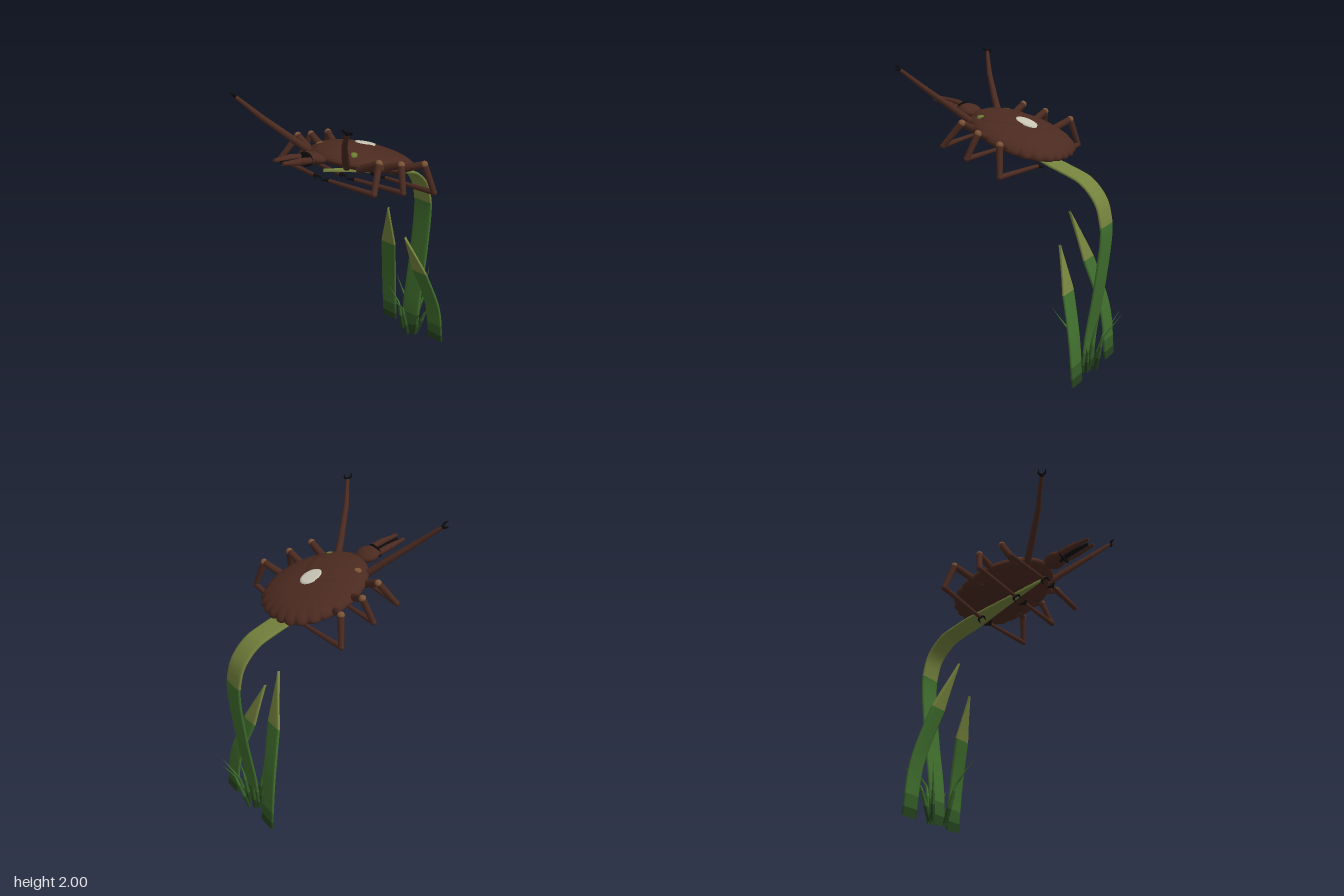
import * as THREE from 'three';
import { mergeVertices } from 'three/addons/utils/BufferGeometryUtils.js';

const material = (name, color, side = THREE.FrontSide) => {
  const m = new THREE.MeshStandardMaterial({ color, side });
  m.name = name;
  return m;
};

export function createModel() {
  const shell = material('shell brown', 0x4b2a20);
  const legBrown = material('leg brown', 0x4a2a20);
  const jointTan = material('joint tan', 0x7a5236);
  const black = material('claw black', 0x0c0a0a);
  const cream = material('spot cream', 0xc9c5b6);
  const eyeGreen = material('eye green', 0x6a7d30);
  const olive = material('blade olive', 0x74823d, THREE.DoubleSide);
  const green = material('blade green', 0x3f6d2d, THREE.DoubleSide);
  const midGreen = material('blade mid green', 0x335a27, THREE.DoubleSide);
  const darkGreen = material('blade dark green', 0x24411d, THREE.DoubleSide);

  const model = new THREE.Group();
  model.name = 'tickOnGrass';
  const V = (p) => new THREE.Vector3(...p);

  const add = (parent, name, geometry, mat) => {
    const mesh = new THREE.Mesh(geometry, mat);
    mesh.name = name;
    parent.add(mesh);
    return mesh;
  };

  // Tapered round rod from a to b
  const rod = (parent, name, a, b, r0, r1, mat) => {
    const d = V(b).sub(V(a));
    const mesh = add(parent, name, new THREE.CylinderGeometry(r1, r0, d.length(), 10), mat);
    mesh.position.copy(V(a)).addScaledVector(d, 0.5);
    mesh.quaternion.setFromUnitVectors(new THREE.Vector3(0, 1, 0), d.normalize());
  };
  const ball = (parent, name, p, r, mat) => {
    const mesh = add(parent, name, new THREE.SphereGeometry(r, 16, 10), mat);
    mesh.position.set(...p);
    return mesh;
  };

  // Lathe whose vertices are moved by a rule, then smoothed
  const shapedLathe = (profile, segments, rule) => {
    let g = new THREE.LatheGeometry(profile.map(([r, y]) => new THREE.Vector2(r, y)), segments);
    const p = g.attributes.position;
    for (let i = 0; i < p.count; i++) {
      const x = p.getX(i), z = p.getZ(i);
      p.setXYZ(i, ...rule(Math.hypot(x, z), Math.atan2(x, z), p.getY(i)));
    }
    g.deleteAttribute('uv');
    g.deleteAttribute('normal');
    g = mergeVertices(g, 1e-5);
    g.computeVertexNormals();
    return g;
  };

  // Tilted body
  const W = 0.31, L = 0.358, H = 0.095;
  const tick = new THREE.Group();
  tick.name = 'tickBody';
  tick.position.set(0, 1.533, 0.05);
  tick.rotation.x = -0.285;
  model.add(tick);

  const narrow = (c) => (c > 0 ? 1 - 0.08 * c : 1);
  const profile = [];
  for (let i = 0; i <= 20; i++) {
    const t = -Math.PI / 2 + (Math.PI * i) / 20;
    profile.push([Math.max(0, Math.cos(t)), Math.sin(t) * (t < 0 ? 0.055 : H)]);
  }
  add(tick, 'body', shapedLathe(profile, 208, (r, a, y) => {
    const s = Math.sin(a), c = Math.cos(a);
    const n = c < 0 ? 2.35 : 2;
    let k = Math.pow(Math.abs(s) ** n + Math.abs(c) ** n, -1 / n) * r;
    // scalloped rear rim
    if (c < -0.45) k *= 1 + 0.05 * r ** 6 * (Math.abs(Math.cos(a * 13)) - 0.7);
    return [W * s * k * narrow(c), y, L * c * k];
  }), shell);

  // Thin plates that follow the curve of the back
  const domeY = (x, z) => {
    const c = z / L / (Math.hypot(x / W, z / L) || 1);
    const rho2 = (x / (W * narrow(c))) ** 2 + (z / L) ** 2;
    return H * Math.sqrt(Math.max(0, 1 - rho2));
  };
  const plate = (name, x0, z0, hx, hz, lift, mat, point = 0) => {
    const rings = [[1, -0.004], [0.985, lift], [0.8, lift], [0.6, lift], [0.4, lift], [0.2, lift], [0, lift]];
    add(tick, name, shapedLathe(rings, 48, (r, a, y) => {
      const c = Math.cos(a);
      const x = x0 + hx * r * Math.sin(a) * (c < 0 ? 1 + point * c : 1);
      const z = z0 + hz * r * c;
      return [x, domeY(x, z) + y, z];
    }), mat);
  };
  plate('backShield', 0, 0.15, 0.178, 0.2, 0.006, shell, 0.35);
  plate('paleSpot', 0, -0.019, 0.055, 0.077, 0.009, cream);
  plate('leftEye', 0.15, 0.232, 0.019, 0.022, 0.009, eyeGreen);
  plate('rightEye', -0.15, 0.232, 0.019, 0.022, 0.009, jointTan);

  // Head and mouthparts
  ball(tick, 'headBase', [0, 0, 0.415], 1, shell).scale.set(0.083, 0.036, 0.075);
  ball(tick, 'mouthCollar', [0, -0.01, 0.479], 1, black).scale.set(0.063, 0.044, 0.012);
  rod(tick, 'mouthTube', [0, -0.012, 0.42], [0, -0.032, 0.665], 0.022, 0.01, black);
  for (const s of [1, -1]) {
    rod(tick, 'palpBase', [s * 0.04, -0.004, 0.43], [s * 0.044, -0.014, 0.56], 0.02, 0.022, shell);
    rod(tick, 'palpTip', [s * 0.044, -0.014, 0.56], [s * 0.037, -0.03, 0.69], 0.022, 0.011, shell);
  }

  // Legs: hip, knee, ankle, foot
  const legs = {
    foreLeg: [[0.13, 1.585, 0.3], [0.22, 1.69, 0.4], [0.35, 1.835, 0.535], [0.47, 1.965, 0.635]],
    secondLeg: [[0.2, 1.575, 0.27], [0.35, 1.65, 0.255], [0.41, 1.505, 0.36], [0.06, 1.5, 0.385]],
    thirdLeg: [[0.22, 1.54, 0.13], [0.39, 1.61, 0.105], [0.45, 1.46, 0.15], [0.06, 1.44, 0.165]],
    hindLeg: [[0.22, 1.495, 0.01], [0.42, 1.57, -0.075], [0.475, 1.39, -0.11], [0.06, 1.365, -0.12]],
  };
  const radii = [0.026, 0.022, 0.018, 0.012];
  for (const [name, pts] of Object.entries(legs)) {
    const isFore = name === 'foreLeg';
    for (const s of [1, -1]) {
      const leg = new THREE.Group();
      leg.name = (s > 0 ? 'left ' : 'right ') + name;
      model.add(leg);
      const p = pts.map(([x, y, z]) => [s * x, y, z]);
      for (let i = 0; i < 3; i++) {
        rod(leg, 'legSegment', p[i], p[i + 1], radii[i], radii[i + 1], legBrown);
        if (i) ball(leg, 'joint', p[i], radii[i] * 1.05, i === 1 && !isFore ? jointTan : legBrown);
      }
      // paired claws
      const dir = V(p[3]).sub(V(p[2])).normalize();
      const side = isFore ? new THREE.Vector3(s * 0.75, -0.3, -0.6) : new THREE.Vector3(0, 0.3, 0.9);
      ball(leg, 'clawPad', p[3], 0.013, black);
      for (const k of [1, -1]) {
        const mid = V(p[3]).addScaledVector(dir, 0.016).addScaledVector(side, k * 0.024);
        const tip = mid.clone().addScaledVector(dir, 0.026);
        if (!isFore) tip.y -= 0.014;
        rod(leg, 'claw', p[3], mid.toArray(), 0.008, 0.007, black);
        rod(leg, 'clawTip', mid.toArray(), tip.toArray(), 0.007, 0.001, black);
      }
    }
  }

  // Grass blades: flat sections along a curve, coloured by height [dark, mid, olive]
  const square = (v) => Math.sign(v) * Math.abs(v) ** 0.4;
  const blade = (name, pts, width, taper, thick, tipThick, heights, rows, tension = 0.5) => {
    const curve = new THREE.CatmullRomCurve3(pts.map(V), false, 'catmullrom', tension);
    const pos = [], index = [], N = 12;
    const g = new THREE.BufferGeometry();
    const X = new THREE.Vector3(1, 0, 0);
    for (let i = 0; i <= rows; i++) {
      const u = i / rows;
      const c = curve.getPointAt(u);
      const n = X.clone().cross(curve.getTangentAt(u)).normalize();
      const k = u < taper ? 1 : (1 - u) / (1 - taper);
      const t = thick * Math.max(k, tipThick);
      for (let j = 0; j < N; j++) {
        const a = ((j + 0.5) / N) * Math.PI * 2;
        const q = c.clone().addScaledVector(X, width * k * square(Math.cos(a)))
          .addScaledVector(n, t * square(Math.sin(a)));
        pos.push(q.x, Math.max(0, q.y), q.z);
      }
      if (i === rows) break;
      const y = curve.getPointAt(u + 0.5 / rows).y;
      g.addGroup(index.length, N * 6, heights.filter((h) => y > h).length);
      for (let j = 0; j < N; j++) {
        const a = i * N + j, b = i * N + ((j + 1) % N);
        index.push(a, a + N, b, b, a + N, b + N);
      }
    }
    g.setAttribute('position', new THREE.Float32BufferAttribute(pos, 3));
    g.setIndex(index);
    g.computeVertexNormals();
    add(model, name, g, [darkGreen, midGreen, green, olive]);
  };

  blade('mainBlade', [[0, 0, -0.48], [0, 0.25, -0.497], [0, 0.6, -0.55], [0, 0.95, -0.587], [0, 1.1, -0.573],
    [0, 1.2, -0.535], [0, 1.29, -0.45], [0, 1.34, -0.34], [0, 1.44, 0], [0, 1.545, 0.37]],
  0.077, 0.72, 0.01, 1, [0.06, 0.14, 1.03], 120);
  blade('rightBlade', [[-0.235, 0, -0.52], [-0.22, 0.35, -0.485], [-0.145, 0.72, -0.39], [-0.06, 1.06, -0.287]],
    0.065, 0.67, 0.01, 1, [0.06, 0.14, 0.72], 80);
  blade('leftBlade', [[0.215, 0, -0.52], [0.2, 0.3, -0.485], [0.138, 0.6, -0.397], [0.085, 0.875, -0.302]],
    0.065, 0.67, 0.01, 1, [0.06, 0.14, 0.59], 80);

  // Small kinked tuft at the foot
  const tuft = [
    [[-0.02, 0, -0.53], [0.03, 0.27, -0.6], [-0.02, 0.45, -0.71]],
    [[0.05, 0, -0.5], [0.1, 0.17, -0.53], [0.22, 0.28, -0.585]],
    [[-0.05, 0, -0.5], [-0.1, 0.22, -0.54], [-0.235, 0.35, -0.585]],
    [[0.02, 0, -0.43], [0.03, 0.25, -0.36], [0.05, 0.4, -0.23]],
    [[-0.06, 0, -0.47], [-0.09, 0.22, -0.45], [-0.15, 0.35, -0.41]],
    [[0.06, 0, -0.46], [0.09, 0.16, -0.45], [0.15, 0.24, -0.42]],
    [[0.02, 0, -0.5], [0.03, 0.25, -0.53], [0.03, 0.445, -0.575]],
  ];
  for (const pts of tuft) blade('tuftBlade', pts, 0.013, 0.25, 0.012, 0.1, [0.1, 0.2, 1], 24, 0);

  return model;
}
